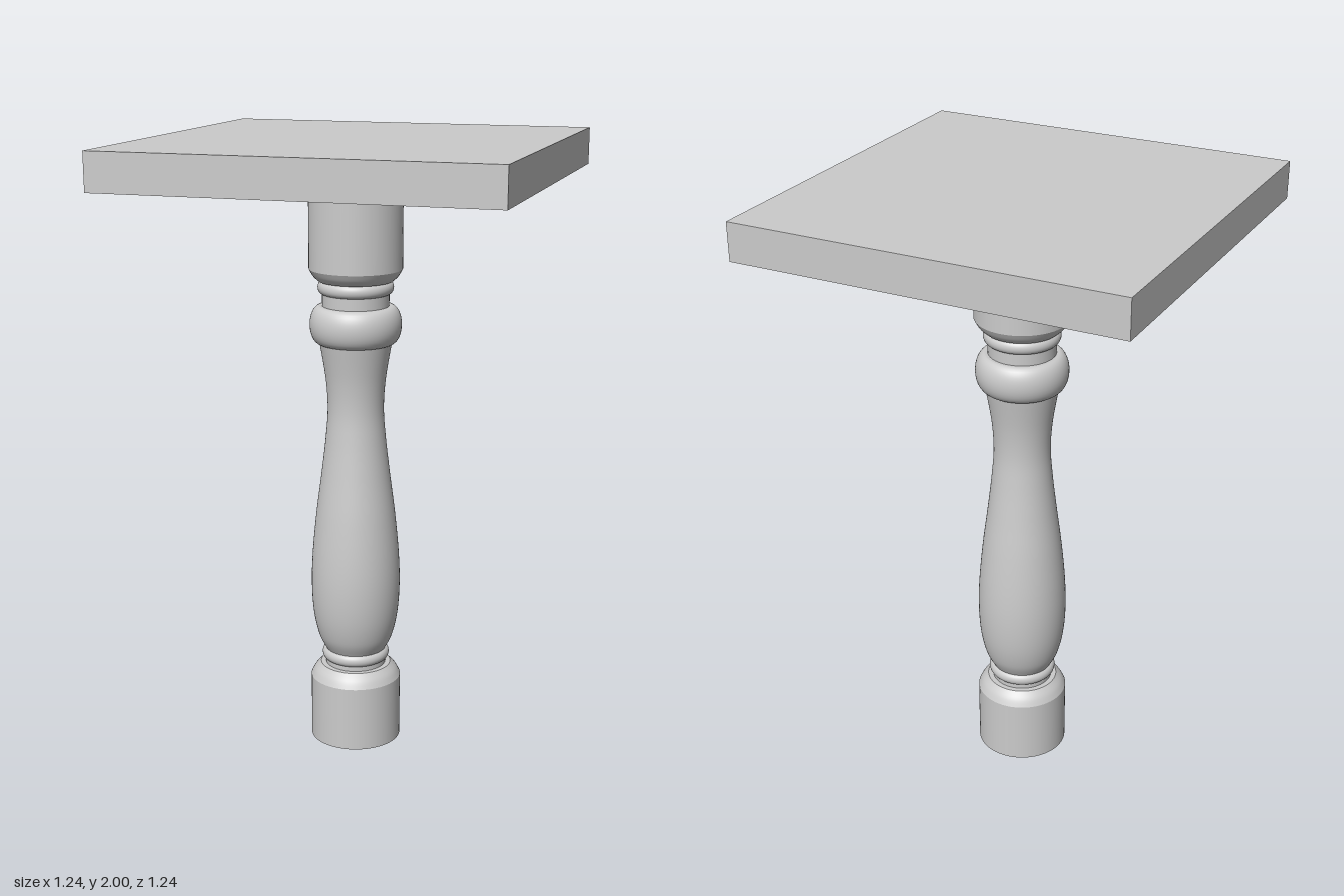
import * as THREE from 'three';

const material = new THREE.MeshStandardMaterial({ color: 0xcccccc });
const SEGMENTS = 64;

const toPoints = (pairs) => pairs.map(([r, y]) => new THREE.Vector2(r, y));

// One smooth turned section; edges between sections stay sharp.
function turned(name, points) {
  const mesh = new THREE.Mesh(new THREE.LatheGeometry(points, SEGMENTS), material);
  mesh.name = name;
  return mesh;
}

const straight = (name, ...pairs) => turned(name, toPoints(pairs));
const curved = (name, steps, ...pairs) =>
  turned(name, new THREE.SplineCurve(toPoints(pairs)).getPoints(steps));

// Half-round ring between two heights, bulging from radius r to r + bulge.
function bead(name, y0, y1, r, bulge) {
  const points = [];
  for (let i = 0; i <= 16; i++) {
    const a = -Math.PI / 2 + (Math.PI * i) / 16;
    points.push(new THREE.Vector2(r + bulge * Math.cos(a), (y0 + y1) / 2 + ((y1 - y0) / 2) * Math.sin(a)));
  }
  return turned(name, points);
}

export function createModel() {
  const group = new THREE.Group();
  group.name = 'pedestalTable';

  // Square top slab
  const slab = new THREE.Mesh(new THREE.BoxGeometry(1.24, 0.12, 1.24), material);
  slab.name = 'topSlab';
  slab.position.y = 1.94;
  group.add(slab);

  const baluster = new THREE.Group();
  baluster.name = 'baluster';
  group.add(baluster);

  baluster.add(
    // Foot drum with a rounded shoulder
    straight('footBottom', [0, 0], [0.15, 0]),
    straight('footDrum', [0.15, 0], [0.15, 0.215]),
    curved('footShoulder', 8, [0.15, 0.215], [0.137, 0.239], [0.117, 0.26]),
    straight('footLedge', [0.117, 0.26], [0.1, 0.26]),
    straight('lowerNeck', [0.1, 0.26], [0.1, 0.28]),
    bead('lowerBead', 0.275, 0.315, 0.095, 0.017),

    // Vase-shaped shaft
    curved('shaft', 64,
      [0.1, 0.313], [0.123, 0.36], [0.14, 0.435], [0.147, 0.53], [0.144, 0.64], [0.131, 0.78],
      [0.113, 0.92], [0.099, 1.04], [0.092, 1.14], [0.098, 1.24], [0.117, 1.357]),

    // Collar ring and upper neck
    straight('collarUnderside', [0.105, 1.355], [0.118, 1.355]),
    bead('collarRing', 1.355, 1.477, 0.115, 0.033),
    straight('collarTop', [0.118, 1.477], [0.108, 1.477]),
    straight('upperNeck', [0.108, 1.475], [0.108, 1.52]),
    bead('upperBead', 1.515, 1.557, 0.105, 0.017),

    // Head drum under the slab
    straight('headLedge', [0.1, 1.557], [0.12, 1.557]),
    curved('headShoulder', 8, [0.12, 1.557], [0.137, 1.573], [0.15, 1.595]),
    straight('headDrum', [0.15, 1.595], [0.15, 1.88])
  );

  return group;
}
